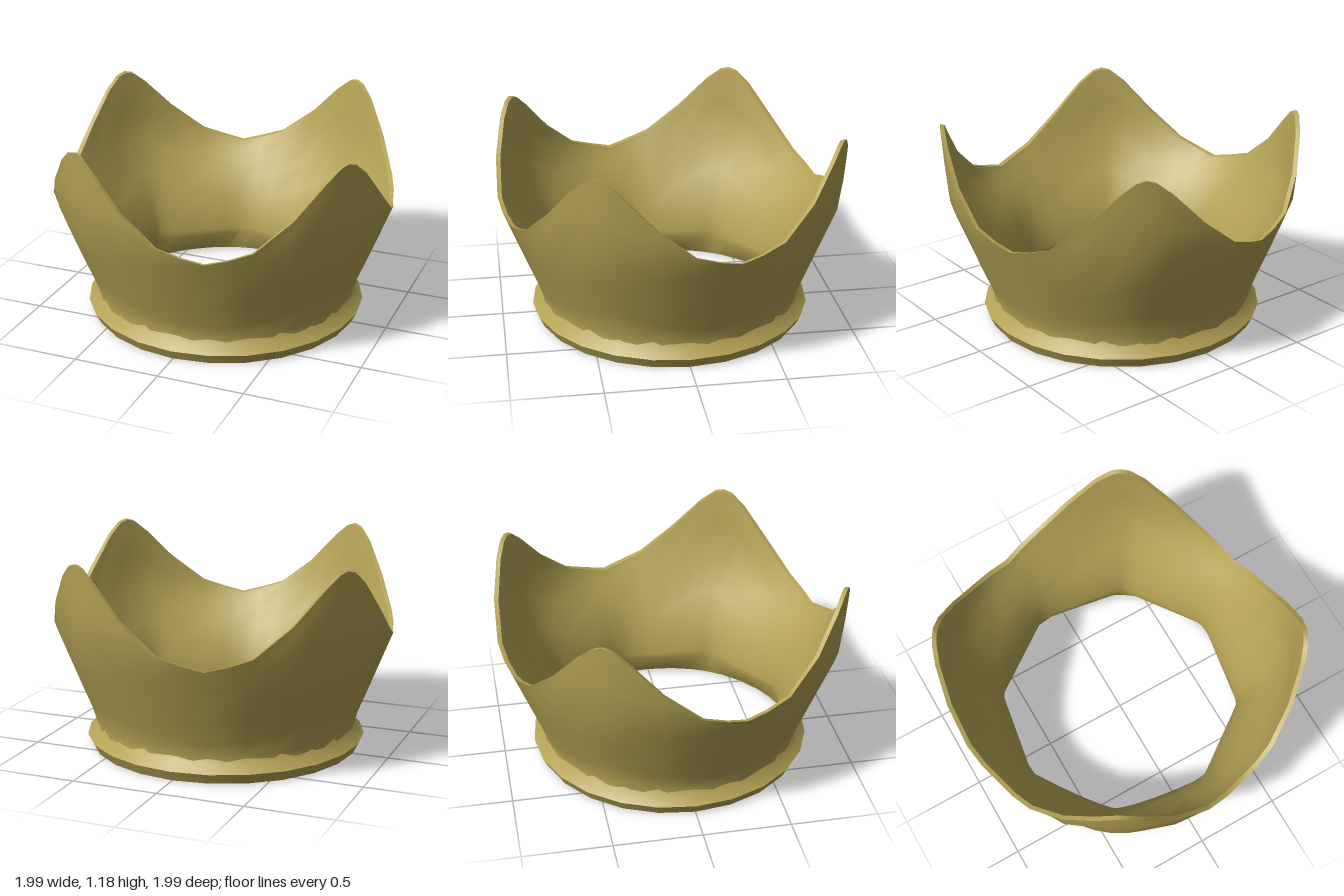
import * as THREE from 'three';
import { toCreasedNormals } from 'three/addons/utils/BufferGeometryUtils.js';

const DEG = Math.PI / 180;

// linear interpolation through [x, y] pairs
function lookup(table, x) {
  for (let i = 1; i < table.length; i++) {
    const [x0, y0] = table[i - 1], [x1, y1] = table[i];
    if (x <= x1) return y0 + (y1 - y0) * Math.max(0, (x - x0) / (x1 - x0));
  }
  return table[table.length - 1][1];
}

// rim height by angle from the nearest peak, and outer radius by height
const RIM = [[0, 1.185], [3, 1.17], [8, 1.1], [18, 0.92], [30, 0.755], [38, 0.71], [45, 0.68]];
const OUTER = [[0.1, 0.765], [0.15, 0.76], [0.32, 0.83], [0.55, 0.92], [0.74, 0.995], [0.95, 1.015], [1.17, 1.03]];
const PEAK_STEPS = [-45, -38, -30, -18, -8, -3, 0, 3, 8, 18, 30, 38];

// eight-sided inner opening
function octagon(angle) {
  const a = ((((angle - 13) % 45) + 45) % 45) - 22.5;
  return 0.725 * Math.cos(22.5 * DEG) / Math.cos(a * DEG);
}

// wall section at one angle: up the outside, over the rim, down the inside
function wallSection(angle, offset) {
  const top = lookup(RIM, Math.abs(offset));
  const steps = [0, 0.05, 0.2, 0.4, 0.6, 0.8, 0.93, 1];
  const outside = steps.map((t) => {
    const y = 0.1 + (top - 0.1) * t;
    return [lookup(OUTER, y), y];
  });
  const inside = steps.slice().reverse().map((t) => {
    const y = 0.13 + (top - 0.135) * t;
    const blend = Math.max(0, 1 - (y - 0.13) / 0.5);
    const round = lookup(OUTER, y) - 0.045 + 0.02 * Math.max(0, t - 0.8) / 0.2;
    return [THREE.MathUtils.lerp(round, octagon(angle), blend), y];
  });
  return [...outside, ...inside, [0.755, 0]];
}

function wallGeometry() {
  const columns = [];
  for (const peak of [-30, 60, 150, 240]) {
    for (const d of PEAK_STEPS) columns.push({ angle: peak + d, points: wallSection(peak + d, d) });
  }
  const rows = columns[0].points.length;
  const positions = [], index = [];
  columns.forEach(({ angle, points }, i) => {
    const next = (i + 1) % columns.length;
    points.forEach(([r, y], j) => {
      positions.push(r * Math.sin(angle * DEG), y, r * Math.cos(angle * DEG));
      if (j === rows - 1) return;
      const a = i * rows + j, b = next * rows + j;
      index.push(a, b, b + 1, a, b + 1, a + 1);
    });
  });
  const geometry = new THREE.BufferGeometry();
  geometry.setAttribute('position', new THREE.Float32BufferAttribute(positions, 3));
  geometry.setIndex(index);
  return toCreasedNormals(geometry, 40 * DEG);
}

export function createModel() {
  const gold = new THREE.MeshStandardMaterial({ color: 0xb5a355 });
  gold.name = 'gold';
  const crown = new THREE.Group();
  crown.name = 'crown';

  // flared wall with four peaks
  const wall = new THREE.Mesh(wallGeometry(), gold);
  wall.name = 'peakedWall';

  // bevelled band around the foot
  const profile = [[0.755, 0], [0.79, 0], [0.82, 0.06], [0.775, 0.105], [0.75, 0.16]]
    .map(([r, y]) => new THREE.Vector2(r, y));
  const band = new THREE.Mesh(
    toCreasedNormals(new THREE.LatheGeometry(profile, 24), 30 * DEG), gold);
  band.name = 'baseBand';

  crown.add(wall, band);
  return crown;
}
